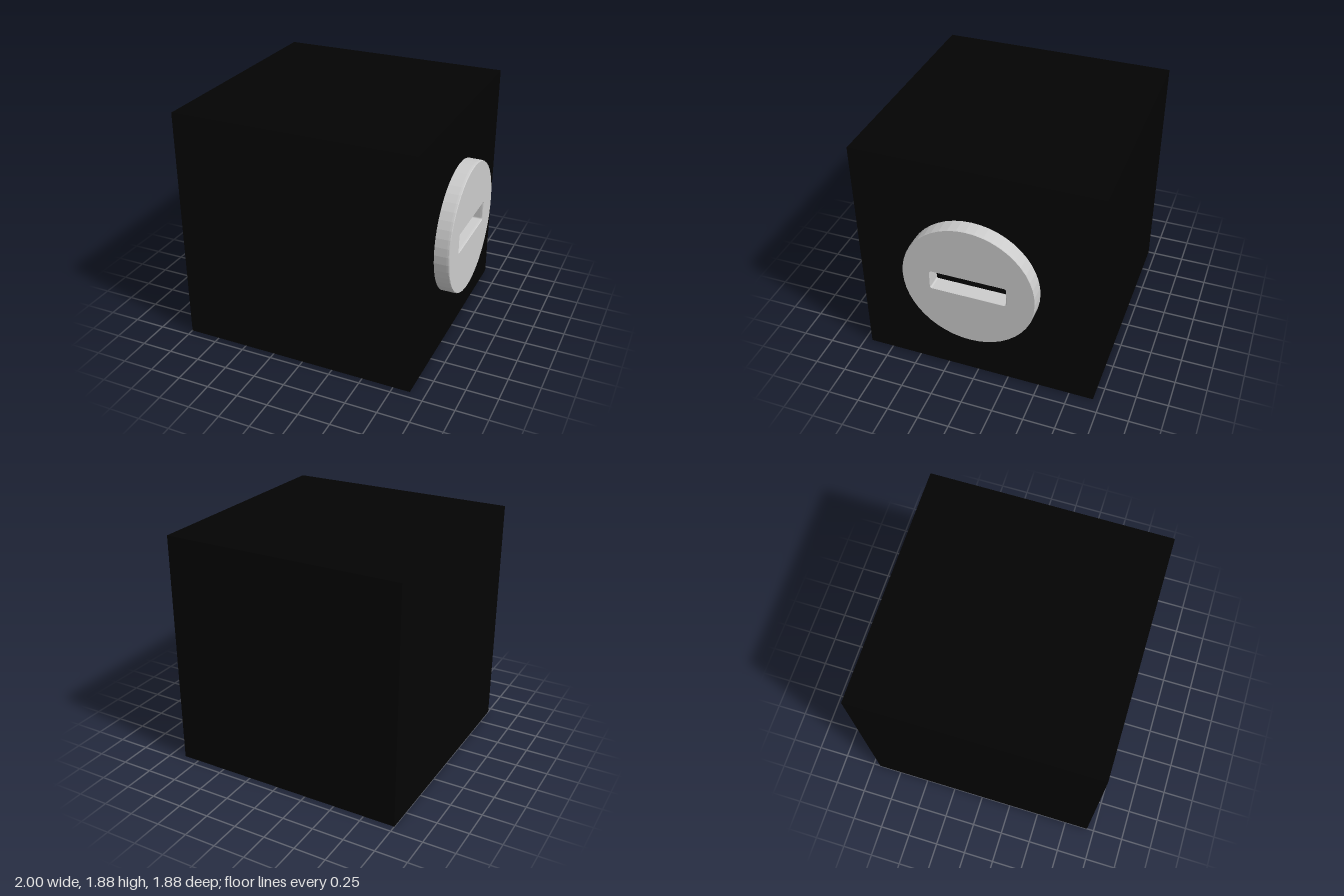
import * as THREE from 'three';

const SIZE = 1.883;       // edge of the cube
const FACE_X = -1 + SIZE; // side that carries the disc

// Rectangle with rounded corners, centred on the origin
function roundedSlot(w, h, r) {
  const p = new THREE.Path();
  const x = w / 2, y = h / 2;
  p.moveTo(-x + r, -y);
  p.lineTo(x - r, -y);
  p.quadraticCurveTo(x, -y, x, -y + r);
  p.lineTo(x, y - r);
  p.quadraticCurveTo(x, y, x - r, y);
  p.lineTo(-x + r, y);
  p.quadraticCurveTo(-x, y, -x, y - r);
  p.lineTo(-x, -y + r);
  p.quadraticCurveTo(-x, -y, -x + r, -y);
  return p;
}

export function createModel() {
  const model = new THREE.Group();

  // Black cube
  const body = new THREE.Mesh(
    new THREE.BoxGeometry(SIZE, SIZE, SIZE),
    new THREE.MeshStandardMaterial({ color: 0x030303 })
  );
  body.name = 'body';
  body.position.set(-1 + SIZE / 2, SIZE / 2, 0);
  model.add(body);

  // Slotted disc with a fine bevel; its rear bevel is sunk into the cube
  const bevel = 0.02, rim = 0.005;
  const shape = new THREE.Shape();
  shape.absarc(0, 0, 0.519 - rim, 0, Math.PI * 2, false);
  shape.holes.push(roundedSlot(0.6, 0.163, 0.02));
  const geometry = new THREE.ExtrudeGeometry(shape, {
    depth: 1 - FACE_X - bevel,
    curveSegments: 24,
    bevelEnabled: true,
    bevelThickness: bevel,
    bevelSize: rim,
    bevelSegments: 2,
  });
  geometry.rotateY(Math.PI / 2);
  const disc = new THREE.Mesh(geometry, new THREE.MeshStandardMaterial({ color: 0xcccccc }));
  disc.name = 'slottedDisc';
  disc.position.set(FACE_X, 0.943, 0.017);
  model.add(disc);

  return model;
}
